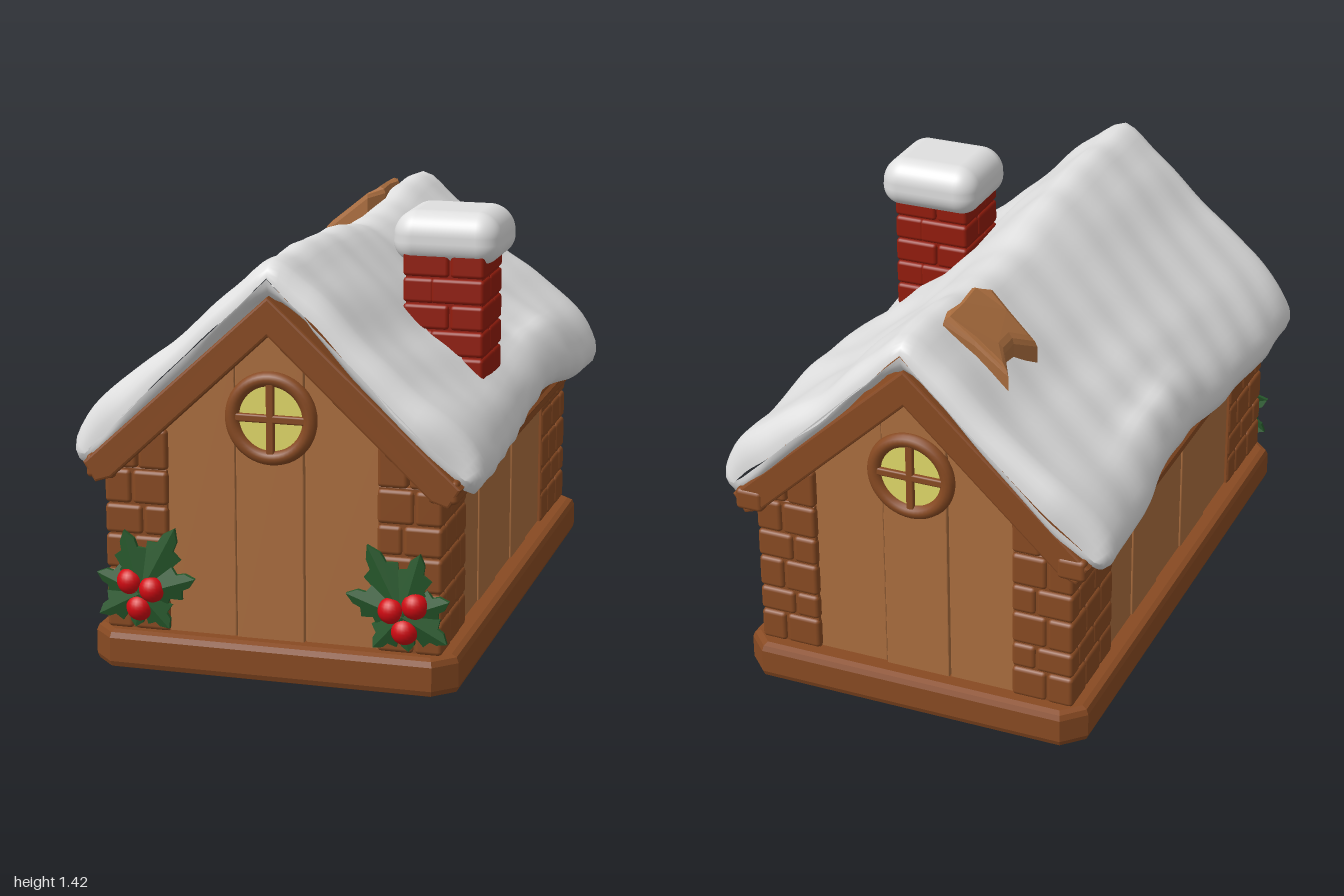
import * as THREE from 'three';
import { mergeGeometries } from 'three/addons/utils/BufferGeometryUtils.js';
import { RoundedBoxGeometry } from 'three/addons/geometries/RoundedBoxGeometry.js';

const mat = (name, color) => Object.assign(new THREE.MeshStandardMaterial({ color }), { name });

export function createModel() {
  const M = {
    timber: mat('dark timber', 0x884a22),
    plank: mat('light plank', 0xaa6d3e),
    snow: mat('snow', 0xe0e0e0),
    brick: mat('red brick', 0x931c0c),
    glass: mat('yellow glass', 0xe0d868),
    leaf: mat('holly green', 0x27592c),
    berry: mat('berry red', 0xd20a12),
  };
  const model = new THREE.Group();
  model.name = 'snowyCabin';
  const add = (name, geo, m, parent = model) => {
    const mesh = new THREE.Mesh(geo, m);
    mesh.name = name;
    parent.add(mesh);
    return mesh;
  };
  const shapeOf = (pts) => new THREE.Shape(pts.map((p) => new THREE.Vector2(...p)));
  // Prism along z from z0 to z1, optionally bevelled inside those limits
  const prism = (pts, z0, z1, bevel = 0) => new THREE.ExtrudeGeometry(shapeOf(pts), {
    depth: z1 - z0 - 2 * bevel, bevelEnabled: bevel > 0, bevelThickness: bevel,
    bevelSize: bevel, bevelOffset: -bevel, bevelSegments: 2,
  }).translate(0, 0, z0 + bevel);
  // Soft-edged block between two corners
  const block = (x0, x1, y0, y1, z0, z1, r = 0.014) => new RoundedBoxGeometry(
    Math.abs(x1 - x0), y1 - y0, Math.abs(z1 - z0), 2, r)
    .translate((x0 + x1) / 2, (y0 + y1) / 2, (z0 + z1) / 2);

  // Base slab with cut corners
  const c = 0.07;
  const base = prism([[-0.6 + c, -0.99], [0.6 - c, -0.99], [0.6, -0.99 + c], [0.6, 1 - c],
    [0.6 - c, 1], [-0.6 + c, 1], [-0.6, 1 - c], [-0.6, -0.99 + c]], 0, 0.128, 0.025);
  add('base', base.rotateX(-Math.PI / 2), M.timber);

  // Wall core, gable planks and side planks
  const roofY = (x) => 1.17 - 0.93 * Math.abs(x);
  add('wallCore', prism([[-0.515, 0.1], [0.515, 0.1], [0.515, roofY(0.515)], [0, 1.17],
    [-0.515, roofY(0.515)]], -0.915, 0.915), M.plank);
  const gableSeams = [-0.36, -0.12, 0.105, 0.36];
  const out = [0.93, 0.934, 0.924];
  for (let i = 0; i < 3; i++) {
    const a = gableSeams[i] + 0.002, b = gableSeams[i + 1] - 0.002;
    const pts = [[a, 0.1], [b, 0.1], [b, roofY(b)]];
    if (a < 0 && b > 0) pts.push([0, 1.17]);
    pts.push([a, roofY(a)]);
    add('gablePlank', prism(pts, -out[i], out[i], 0.004), M.plank);
  }
  const sideSeams = [-0.6, -0.36, -0.12, 0.12, 0.37, 0.63];
  for (let i = 0; i < 5; i++) {
    const w = 0.53 + (i % 2) * 0.005;
    add('sidePlank', block(-w, w, 0.1, 0.68, sideSeams[i] + 0.001, sideSeams[i + 1] - 0.001, 0.005), M.plank);
  }

  // Corner posts of stacked blocks
  for (const sx of [-1, 1]) for (const sz of [-1, 1]) {
    const post = new THREE.Group();
    post.name = 'cornerPost';
    model.add(post);
    const zIn = sz > 0 ? 0.61 : 0.585;
    const put = (x0, x1, y0, y1, z0, z1) => add('postBlock',
      block(sx * x0, sx * x1, y0, y1, sz * z0, sz * z1), M.timber, post);
    add('postCore', block(sx * 0.345, sx * 0.541, 0.1, 0.66, sz * zIn, sz * 0.938, 0.004), M.timber, post);
    const rows = [0.125, 0.235, 0.325, 0.44, 0.54, 0.655];
    for (let r = 0; r < 5; r++) {
      const y0 = rows[r] + 0.002, y1 = rows[r + 1] - 0.002, odd = r % 2;
      const xs = odd ? 0.425 : 0.462, zs = odd ? 0.88 : 0.82, zm = odd ? 0.745 : 0.69;
      put(xs + 0.002, 0.552, y0, y1, zs + 0.002, 0.95);
      put(0.342, xs - 0.002, y0, y1, 0.84, 0.948);
      put(0.45, 0.55, y0, y1, zm + 0.002, zs - 0.002);
      put(0.45, 0.548, y0, y1, zIn, zm - 0.002);
    }
    put(0.342, 0.44, 0.657, 0.79, 0.84, 0.948);
    put(0.444, 0.54, 0.657, 0.71, 0.84, 0.948);
  }

  // Timber roof with gable trim and eaves
  add('roofTimber', prism([[0, 1.24], [0.615, 0.675], [0.575, 0.612], [0.52, 0.63], [0, 1.115],
    [-0.52, 0.63], [-0.575, 0.612], [-0.615, 0.675]], -0.985, 0.975, 0.008), M.timber);
  for (const s of [-1, 1]) {
    add('eavesBeam', block(s * 0.51, s * 0.605, 0.625, 0.7, -0.99, 0.975, 0.015), M.timber);
  }

  // Snow blanket lofted from rounded chevron sections
  const half = [[0.12, 1.265], [0.33, 1.065], [0.53, 0.91], [0.64, 0.8], [0.675, 0.71],
    [0.635, 0.64], [0.56, 0.69], [0.3, 0.945]];
  const loop = [[0, 1.345], ...half, [0, 1.22], ...half.slice().reverse().map(([x, y]) => [-x, y])];
  const section = new THREE.CatmullRomCurve3(loop.map(([x, y]) => new THREE.Vector3(x, y, 0)), true)
    .getSpacedPoints(100).slice(0, 100);
  const bell = (z, mid, w) => Math.exp(-(((z - mid) / w) ** 2));
  const lump = (x, z) => 0.006 * Math.sin(9 * x + 7 * z) * Math.sin(8 * z - 3 * x + 1)
    + 0.004 * Math.sin(21 * x - 13 * z) * Math.sin(17 * z + 11 * x);
  const pos = [], idx = [], N = 100, R = 70, round = 0.075;
  for (let i = 0; i <= R; i++) {
    // Rings crowd together towards both rounded ends
    const t = i / R, k = 6 / R;
    let z, s = 1;
    if (t < k || t > 1 - k) {
      const a = (Math.min(t, 1 - t) / k) * Math.PI / 2;
      s = Math.sin(a);
      z = t < 0.5 ? -1 + round * (1 - Math.cos(a)) : 0.975 - round * (1 - Math.cos(a));
    } else z = -1 + round + (t - k) / (1 - 2 * k) * (1.975 - 2 * round);
    for (const p of section) {
      const ax = Math.abs(p.x);
      const cx = 0.92 * p.x, cy = 1.295 - 0.96 * Math.abs(cx);
      const upper = p.y > 1.24 - 0.92 * ax + 0.02 ? 1 : 0;
      let x = cx + (p.x - cx) * s, y = cy + (p.y - cy) * s;
      y -= 0.062 * bell(z, -0.25, 0.4) * Math.max(0, 1 - ax / 0.5) * upper;
      y += 0.06 * bell(z, -0.3, 0.32) * THREE.MathUtils.smoothstep(ax, 0.5, 0.62);
      x *= 1 - 0.065 * bell(z, 0, 0.5) * THREE.MathUtils.smoothstep(ax, 0.3, 0.62);
      y += lump(p.x, z) * upper * 1.3;
      x += lump(p.x + 1, z) * upper * Math.min(1, ax * 3);
      const pull = 0.035 * THREE.MathUtils.smoothstep(ax, 0.5, 0.68);
      pos.push(x, y, z * (1 - pull));
    }
  }
  for (let i = 0; i < R; i++) for (let j = 0; j < N; j++) {
    const a = i * N + j, b = i * N + (j + 1) % N;
    idx.push(a, a + N, b, b, a + N, b + N);
  }
  const snow = new THREE.BufferGeometry();
  snow.setAttribute('position', new THREE.Float32BufferAttribute(pos, 3));
  snow.setIndex(idx);
  snow.computeVertexNormals();
  add('roofSnow', snow, M.snow);

  // Bare roof shingle poking out of the snow, tilted with the slope
  const shingle = prism([[-0.26, 0.77], [-0.215, 0.69], [-0.215, 0.62], [-0.262, 0.54], [-0.16, 0.515],
    [-0.09, 0.495], [-0.035, 0.54], [-0.045, 0.66], [-0.032, 0.73], [-0.05, 0.79], [-0.15, 0.775]],
  -0.15, 0, 0.02).rotateX(-Math.PI / 2);
  const sp = shingle.attributes.position;
  for (let i = 0; i < sp.count; i++) {
    sp.setY(i, sp.getY(i) + Math.min(1.34, 1.325 + 0.8 * (sp.getX(i) + 0.09)));
  }
  shingle.computeVertexNormals();
  add('bareShingle', shingle, M.plank);

  // Brick chimney: each course is a pinwheel of four bricks
  const chimney = new THREE.Group();
  chimney.name = 'chimney';
  chimney.position.set(0.412, 0, 0.265);
  model.add(chimney);
  add('chimneyCore', block(-0.127, 0.127, 0.75, 1.3, -0.122, 0.122, 0.004), M.brick, chimney);
  for (let r = 0; r < 6; r++) {
    const y = 0.78 + r * 0.086, cut = r % 2 ? 0.02 : -0.045, h = 0.135;
    for (let q = 0; q < 4; q++) {
      const brick = add('chimneyBrick',
        block(-h, cut - 0.002 + (q % 2) * 0.02, y + 0.002, y + 0.084, 0.03, h, 0.013), M.brick, chimney);
      const rest = add('chimneyBrick',
        block(cut + 0.002 + (q % 2) * 0.02, h, y + 0.002, y + 0.084, 0.03, h, 0.013), M.brick, chimney);
      brick.rotation.y = rest.rotation.y = q * Math.PI / 2;
    }
  }
  // Snow cap drooping at its sides
  const cap = new RoundedBoxGeometry(0.36, 0.165, 0.328, 6, 0.075);
  const cp = cap.attributes.position;
  for (let i = 0; i < cp.count; i++) {
    const x = cp.getX(i), y = cp.getY(i), z = cp.getZ(i);
    cp.setY(i, y - 0.3 * (x * x + z * z) * (y < 0 ? 1 : 0.4));
    const flare = y > 0 ? 1 - 0.5 * y : 1;
    cp.setX(i, x * flare);
    cp.setZ(i, z * flare);
  }
  add('chimneySnow', cap, M.snow, chimney).position.set(0.002, 1.342, -0.015);

  // Round windows on both gables
  for (const s of [-1, 1]) {
    const win = new THREE.Group();
    win.name = s > 0 ? 'frontWindow' : 'backWindow';
    win.position.set(0, 0.85, s * 0.937);
    if (s < 0) win.rotation.y = Math.PI;
    model.add(win);
    add('windowGlass', new THREE.CylinderGeometry(0.12, 0.12, 0.008, 40).rotateX(Math.PI / 2), M.glass, win);
    add('windowRing', new THREE.TorusGeometry(0.126, 0.024, 12, 48), M.timber, win);
    add('windowBar', block(-0.12, 0.12, -0.013, 0.013, -0.005, 0.018, 0.006), M.timber, win);
    add('windowBar', block(-0.013, 0.013, -0.12, 0.12, -0.005, 0.018, 0.006), M.timber, win);
  }

  // Holly leaf along +y: two spiky halves folded at the midrib
  const leafEdge = [[0, 0], [0.22, 0.1], [0.2, 0.22], [0.4, 0.36], [0.26, 0.45], [0.36, 0.64],
    [0.17, 0.7], [0.15, 0.84], [0, 1]];
  const leafGeo = (len, width) => mergeGeometries([-1, 1].map((s) => {
    const g = prism(leafEdge.map(([u, v]) => [s * u * width, v * len]), 0, 0.014);
    const p = g.attributes.position;
    for (let i = 0; i < p.count; i++) {
      const v = p.getY(i) / len;
      p.setZ(i, p.getZ(i) - 0.3 * Math.abs(p.getX(i)) - 0.012 * v);
    }
    g.computeVertexNormals();
    return g;
  }));
  const tips = [[0.315, 0.475], [0.485, 0.458], [0.248, 0.315], [0.578, 0.312], [0.572, 0.175], [0.335, 0.145], [0.45, 0.14]];
  const berries = [[0.393, 0.27, 0.958], [0.468, 0.29, 0.955], [0.436, 0.206, 0.958]];
  for (const s of [-1, 1]) {
    const holly = new THREE.Group();
    holly.name = s > 0 ? 'leftHolly' : 'rightHolly';
    model.add(holly);
    tips.forEach(([x, y], i) => {
      const dx = s * (x - 0.43), dy = y - 0.255, len = Math.hypot(dx, dy);
      const leaf = add('hollyLeaf', leafGeo(len, 0.11 + 0.25 * len), M.leaf, holly);
      leaf.position.set(s * 0.43, 0.255, 0.963 + 0.002 * (i % 3));
      leaf.rotation.z = Math.atan2(-dx, dy);
    });
    for (const [x, y, z] of berries) {
      add('hollyBerry', new THREE.SphereGeometry(0.044, 20, 14), M.berry, holly).position.set(s * x, y, z);
    }
  }
  return model;
}
